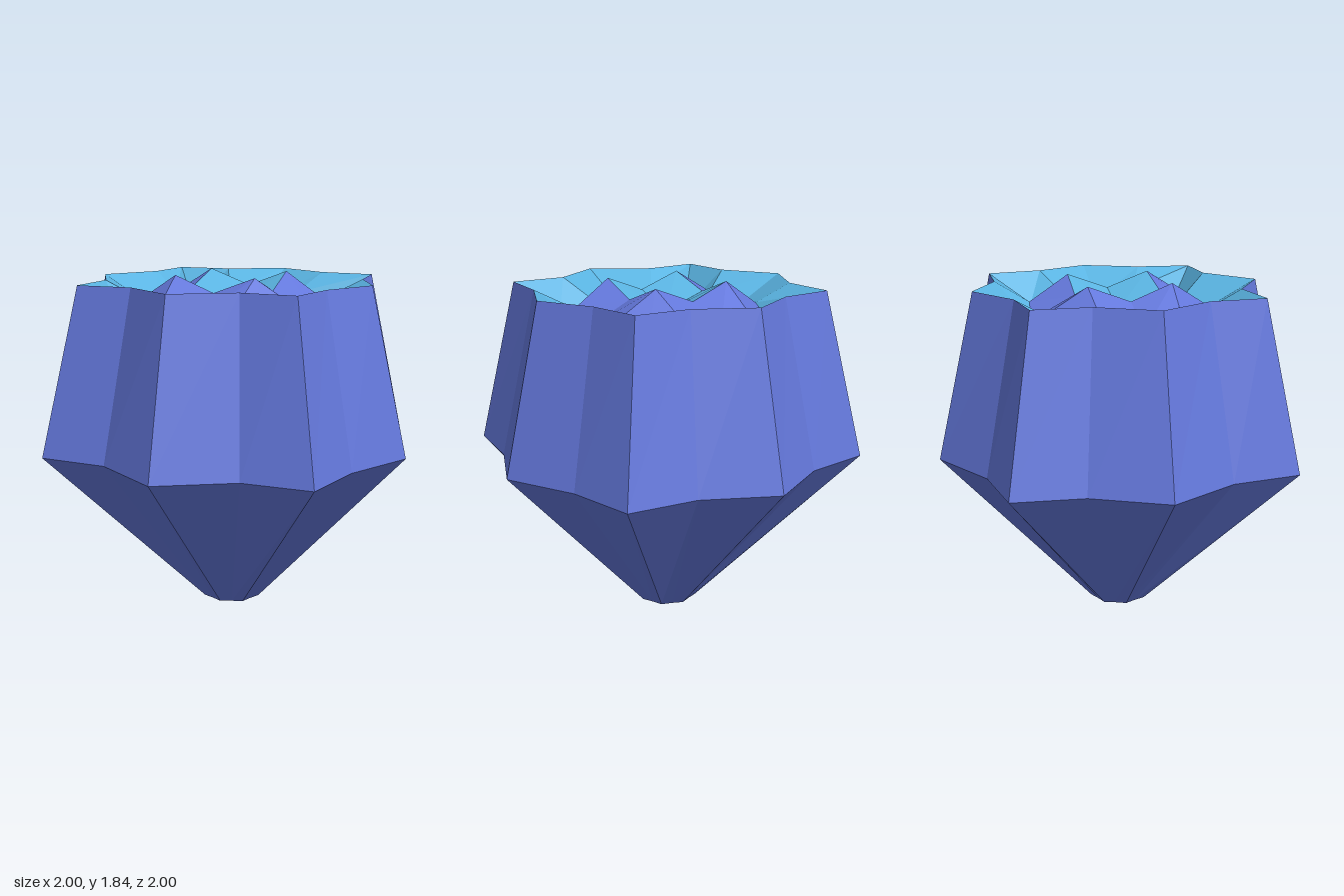
import * as THREE from 'three';

// One ring of 16 points, built side by side (front, left, back, right):
// axial tip, valley, diagonal tip, valley of the next side.
// tip/diag/along are distances, outs the valley distance per side,
// ys the heights of axial tip, valley and diagonal tip.
function ring({ tip, diag, along, outs, ys }) {
  const points = [];
  for (let k = 0; k < 4; k++) {
    const place = (side, t, out, y) => {
      const a = side * Math.PI / 2, s = Math.sin(a), c = Math.cos(a);
      return new THREE.Vector3(out * s + t * c, y, out * c - t * s);
    };
    points.push(
      place(k, 0, tip, ys[0]),
      place(k, along, outs[k], ys[1]),
      place(k, diag, diag, ys[2]),
      place(k + 1, -along, outs[(k + 1) % 4], ys[1])
    );
  }
  return points;
}

// Flat-faced band joining two rings
function band(lower, upper) {
  const out = [];
  const tri = (a, b, c) => {
    const area = b.clone().sub(a).cross(c.clone().sub(a)).length();
    if (area > 1e-6) for (const p of [a, b, c]) out.push(p.x, p.y, p.z);
  };
  for (let i = 0; i < lower.length; i++) {
    const j = (i + 1) % lower.length;
    tri(lower[i], lower[j], upper[j]);
    tri(lower[i], upper[j], upper[i]);
  }
  const geometry = new THREE.BufferGeometry();
  geometry.setAttribute('position', new THREE.Float32BufferAttribute(out, 3));
  geometry.computeVertexNormals();
  return geometry;
}

export function createModel() {
  const group = new THREE.Group();
  group.name = 'blossom';

  const petalBlue = new THREE.MeshStandardMaterial({ color: 0x6478dc });
  petalBlue.name = 'petal blue';
  const innerCyan = new THREE.MeshStandardMaterial({ color: 0x5ab4e2 });
  innerCyan.name = 'inner cyan';

  const same = v => [v, v, v, v];
  const level = y => [y, y, y];
  const point = y => Array.from({ length: 16 }, () => new THREE.Vector3(0, y, 0));

  const foot = ring({ tip: 0.165, diag: 0.118, along: 0.06, outs: same(0.138), ys: level(0) });
  const waist = ring({ tip: 1, diag: 0.76, along: 0.38, outs: [0.77, 0.825, 0.805, 0.8], ys: level(0.905) });
  const rim = ring({ tip: 0.79, diag: 0.605, along: 0.3, outs: [0.59, 0.645, 0.625, 0.613], ys: level(1.805) });
  const budBase = ring({ tip: 0.48, diag: 0.425, along: 0.21, outs: same(0.45), ys: [1.64, 1.7, 1.57] });
  // the bud's valleys collapse onto its four raised corners
  const budTop = ring({ tip: 0.24, diag: 0.228, along: 0.228, outs: same(0.228), ys: [1.755, 1.84, 1.84] });

  const parts = [
    ['footCap', point(0), foot, petalBlue],
    ['lowerCup', foot, waist, petalBlue],
    ['upperPetals', waist, rim, petalBlue],
    ['innerPetals', rim, budBase, innerCyan],
    ['budSides', budBase, budTop, petalBlue],
    ['budHeart', budTop, point(1.67), innerCyan]
  ];
  for (const [name, lower, upper, material] of parts) {
    const mesh = new THREE.Mesh(band(lower, upper), material);
    mesh.name = name;
    group.add(mesh);
  }
  return group;
}
